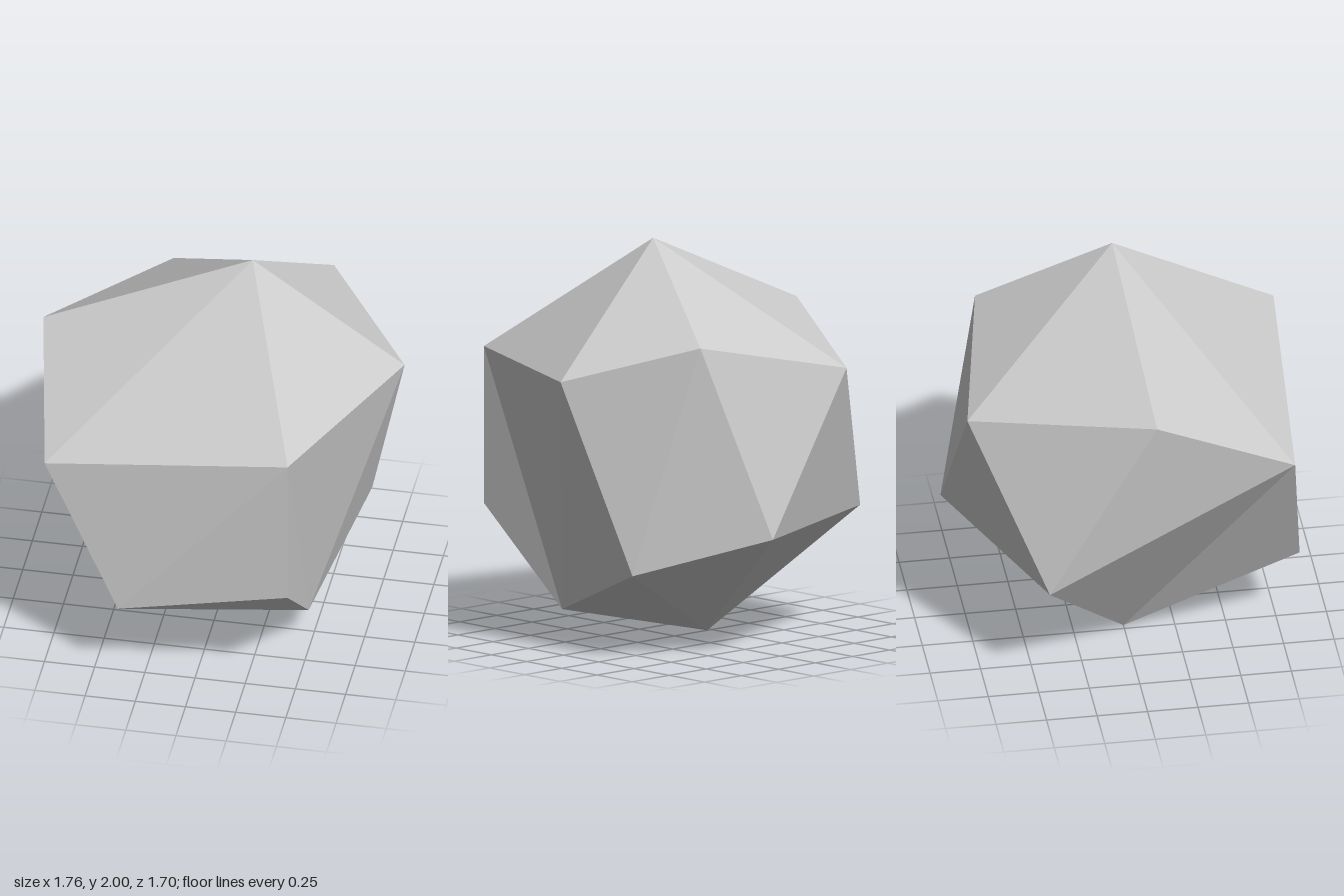
import * as THREE from 'three';

// Corners of the faceted stone
const corners = {
  A: [0.145, 2, 0],
  // upper ring
  B: [-0.885, 1.57, 0.065], C: [-0.745, 1.2, 0.77], D: [0.48, 1.39, 0.85],
  E: [0.88, 1.39, -0.115], F: [0.43, 1.57, -0.635], G: [-0.4, 1.39, -0.8],
  // lower ring
  H: [0.145, 0.61, -0.85], I: [-0.82, 0.61, -0.455], J: [0.665, 0.435, -0.4],
  K: [0.48, 0.155, 0.295], L: [-0.365, 0.435, 0.85], M: [0.48, 0.61, 0.85],
  N: [-0.22, 0, 0],
};

// Facets by corner names: crown, sides, underside
const facets = [
  'ABC ACD ADE AEF AFG AGB',
  'CLD DLM DMK DKE EKJ EJF FJH FHG GHI GIB BIC',
  'CIN CNL LNK LKM KNJ JNH HNI',
].join(' ').split(' ');

function facetedGeometry() {
  const centre = new THREE.Vector3(0, 1, 0);
  const points = [];
  for (const facet of facets) {
    const [a, b, c] = [...facet].map((k) => new THREE.Vector3(...corners[k]));
    // turn every facet to face outward
    const normal = b.clone().sub(a).cross(c.clone().sub(a));
    const outward = normal.dot(a.clone().add(b).add(c).divideScalar(3).sub(centre)) > 0;
    points.push(...(outward ? [a, b, c] : [a, c, b]));
  }
  const geometry = new THREE.BufferGeometry().setFromPoints(points);
  geometry.computeVertexNormals();
  return geometry;
}

export function createModel() {
  const group = new THREE.Group();
  group.name = 'rock';
  const stone = new THREE.Mesh(
    facetedGeometry(),
    new THREE.MeshStandardMaterial({ color: 0xcccccc, flatShading: true }),
  );
  stone.name = 'stone';
  group.add(stone);
  return group;
}
